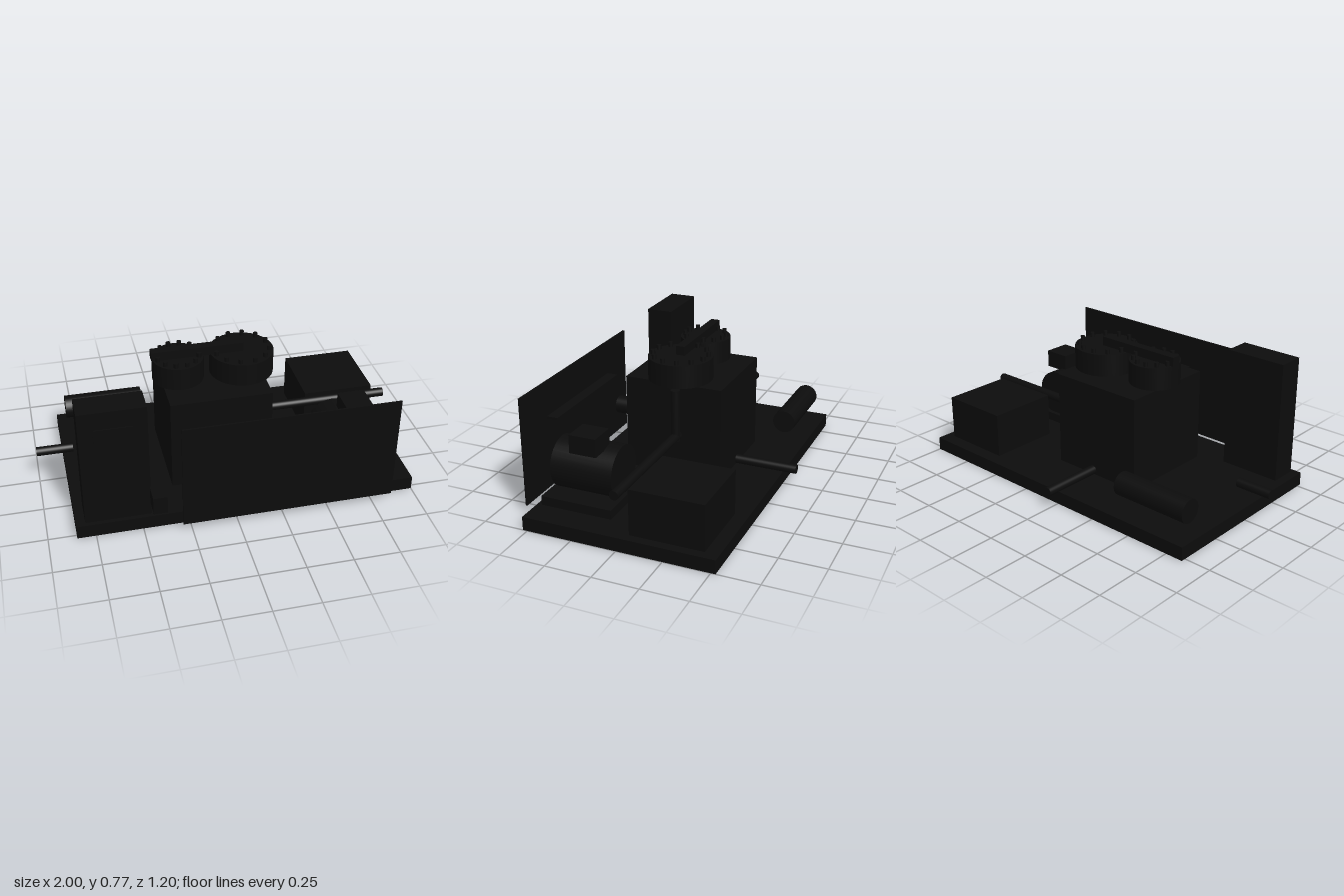
import * as THREE from 'three';

export function createModel() {
  const model = new THREE.Group();
  model.name = 'compressorUnit';
  const black = new THREE.MeshStandardMaterial({ color: 0x0c0c0c });
  black.name = 'black';

  const add = (name, geometry, x, y, z, parent = model) => {
    const mesh = new THREE.Mesh(geometry, black);
    mesh.name = name;
    mesh.position.set(x, y, z);
    parent.add(mesh);
    return mesh;
  };
  // Box given by its ranges on each axis
  const box = (name, [x0, x1], [y0, y1], [z0, z1]) =>
    add(name, new THREE.BoxGeometry(x1 - x0, y1 - y0, z1 - z0),
      (x0 + x1) / 2, (y0 + y1) / 2, (z0 + z1) / 2);
  // Cylinder lying along x or z
  const rod = (name, axis, r, length, x, y, z) => {
    const g = new THREE.CylinderGeometry(r, r, length, 32);
    if (axis === 'x') g.rotateZ(Math.PI / 2);
    else g.rotateX(Math.PI / 2);
    return add(name, g, x, y, z);
  };

  // Skid and compressor block
  box('basePlate', [-0.85, 1], [0, 0.075], [-0.525, 0.525]);
  box('compressorBlock', [-0.3, 0.25], [0.075, 0.6], [-0.25, 0.3]);

  // Cylinder heads, each with a ring of bolts
  for (const [name, x, r, ring] of [['smallHead', -0.205, 0.14, 0.115], ['largeHead', 0.145, 0.175, 0.15]]) {
    const head = new THREE.Group();
    head.name = name;
    head.position.set(x, 0, 0.025);
    model.add(head);
    add('headBody', new THREE.CylinderGeometry(r, r, 0.125, 32), 0, 0.6625, 0, head);
    for (let i = 0; i < 12; i++) {
      const a = (i + 0.5) * Math.PI / 6;
      add('headBolt', new THREE.CylinderGeometry(0.0125, 0.0125, 0.025, 12),
        ring * Math.cos(a), 0.7375, ring * Math.sin(a), head);
    }
  }
  box('headManifold', [-0.35, 0.15], [0.725, 0.775], [0, 0.05]);

  // Drive: shaft, motor, belt and guard
  rod('driveShaft', 'z', 0.05, 0.2, -0.025, 0.3, 0.39);
  rod('motorBody', 'z', 0.14, 0.35, 0.65, 0.25, 0.3);
  box('motorFoot', [0.45, 0.85], [0.075, 0.125], [0.1, 0.5]);
  box('terminalBox', [0.65, 0.8], [0.375, 0.475], [0.2, 0.35]);
  box('driveBelt', [-0.025, 0.65], [0.465, 0.48], [0.5, 0.562]);
  box('beltGuard', [-0.3, 0.85], [0.05, 0.65], [0.588, 0.598]);

  // Control cabinet
  box('controlCabinet', [-0.8, -0.45], [0.075, 0.75], [0.35, 0.5]);
  box('cabinetDisplay', [-0.725, -0.525], [0.55, 0.65], [0.5, 0.505]);
  box('cabinetSwitch', [-0.455, -0.38], [0.15, 0.25], [0.49, 0.6]);

  // Cooler, receiver and pipework
  box('coolerBox', [0.55, 0.95], [0.075, 0.325], [-0.45, -0.05]);
  rod('receiverTank', 'x', 0.065, 0.445, -0.5775, 0.205, -0.405);
  rod('outletPipe', 'x', 0.025, 0.75, 0.625, 0.305, 0);
  add('riserPipe', new THREE.CylinderGeometry(0.025, 0.025, 0.29, 24), 0.275, 0.43, 0);
  rod('inletPipe', 'x', 0.025, 0.2, -0.9, 0.205, 0);
  rod('drainPipe', 'z', 0.025, 0.36, 0, 0.1, -0.42);

  return model;
}
